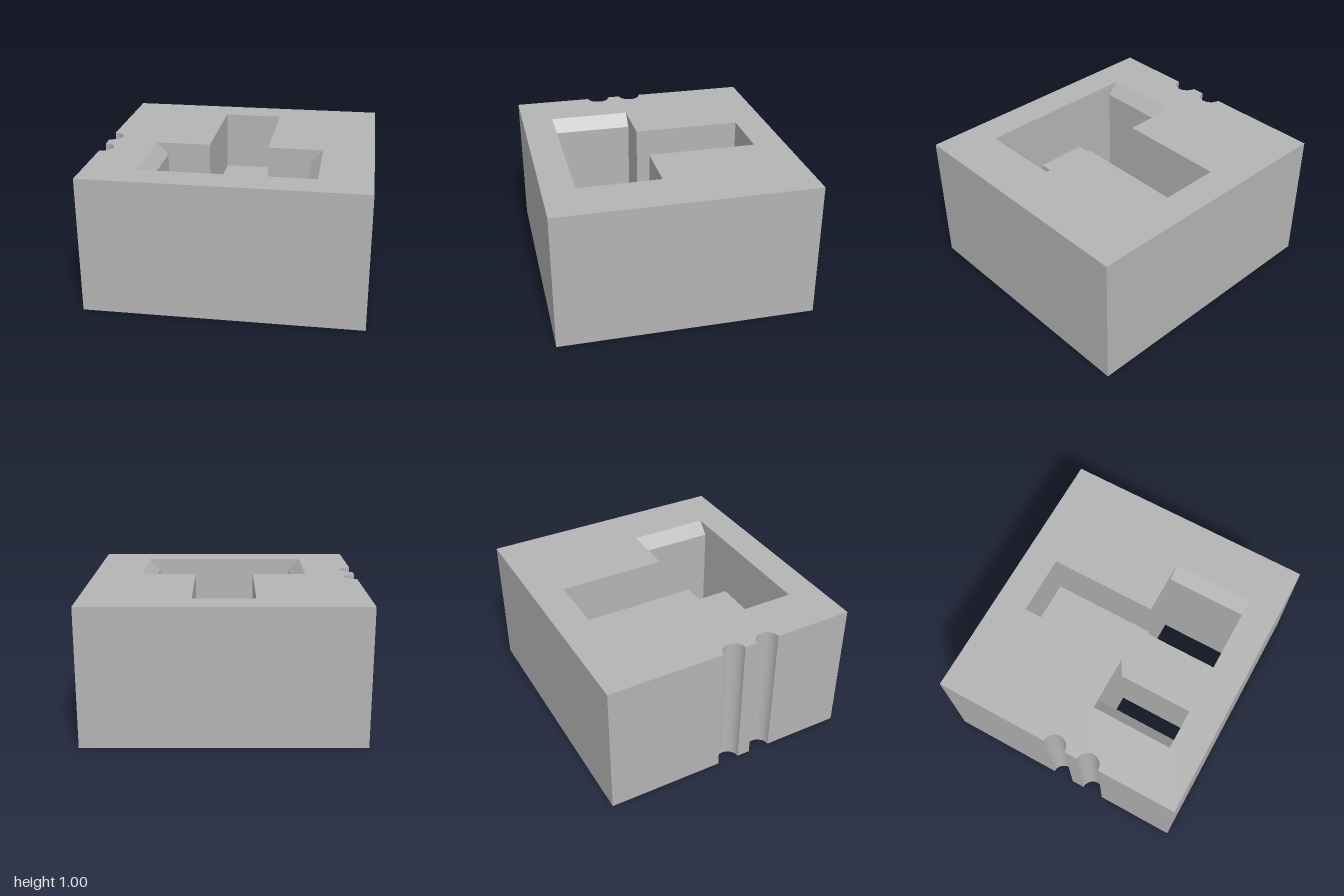
import * as THREE from 'three';

const HX = 1, HZ = 0.933, H = 1;          // block half width, half depth, height
const Z0 = 0.1, Z1 = 0.7, STEM_Z = -0.7;  // recess front bar and stem extents
const STEM_X = 0.22, BRIDGE_X = 0.2, BAR_X = 0.625, HOLE_X = 0.54;
const FLOOR = 0.55, BEVEL = 0.09;

// Plan points are [x, z]; extrusion runs upward from y = 0
const plan = (pts) => pts.map(([x, z]) => new THREE.Vector2(x, -z));

function extrudeUp(shape, height) {
  const g = new THREE.ExtrudeGeometry(shape, { depth: height, bevelEnabled: false, curveSegments: 24 });
  g.rotateX(-Math.PI / 2);
  return g;
}

export function createModel() {
  const group = new THREE.Group();
  const grey = new THREE.MeshStandardMaterial({ color: 0xb4b4b4 });
  grey.name = 'plainGrey';
  const add = (name, geometry) => {
    const mesh = new THREE.Mesh(geometry, grey);
    mesh.name = name;
    group.add(mesh);
    return mesh;
  };

  // Block outline with two half-round grooves on the -x side
  const outline = new THREE.Shape();
  outline.moveTo(-HX, -HZ);
  outline.lineTo(HX, -HZ);
  outline.lineTo(HX, HZ);
  outline.lineTo(-HX, HZ);
  for (const z of [0, 0.264]) {
    outline.lineTo(-HX, -z + 0.083);
    outline.absarc(-HX, -z, 0.083, Math.PI / 2, -Math.PI / 2, true);
  }
  outline.closePath();

  // T-shaped opening
  outline.holes.push(new THREE.Path(plan([
    [-STEM_X, STEM_Z], [STEM_X, STEM_Z], [STEM_X, Z0], [BAR_X, Z0],
    [BAR_X, Z1], [-BAR_X, Z1], [-BAR_X, Z0], [-STEM_X, Z0],
  ])));
  add('block', extrudeUp(outline, H));

  // Raised floor of the stem, continuing as a bridge between the two holes
  const floor = new THREE.Shape(plan([
    [-STEM_X, STEM_Z], [-STEM_X, Z0], [-BRIDGE_X, Z0], [-BRIDGE_X, Z1],
    [BRIDGE_X, Z1], [BRIDGE_X, Z0], [STEM_X, Z0], [STEM_X, STEM_Z],
  ]));
  add('recessFloor', extrudeUp(floor, FLOOR));

  // Side jambs of the holes, sloped at the top
  for (const [name, s] of [['leftJamb', 1], ['rightJamb', -1]]) {
    const section = new THREE.Shape([
      [HOLE_X, 0], [BAR_X, 0], [BAR_X, H], [HOLE_X, H - BEVEL],
    ].map(([x, y]) => new THREE.Vector2(s * x, y)));
    const jamb = new THREE.ExtrudeGeometry(section, { depth: Z1 - Z0, bevelEnabled: false });
    jamb.translate(0, 0, Z0);
    add(name, jamb);
  }

  return group;
}
